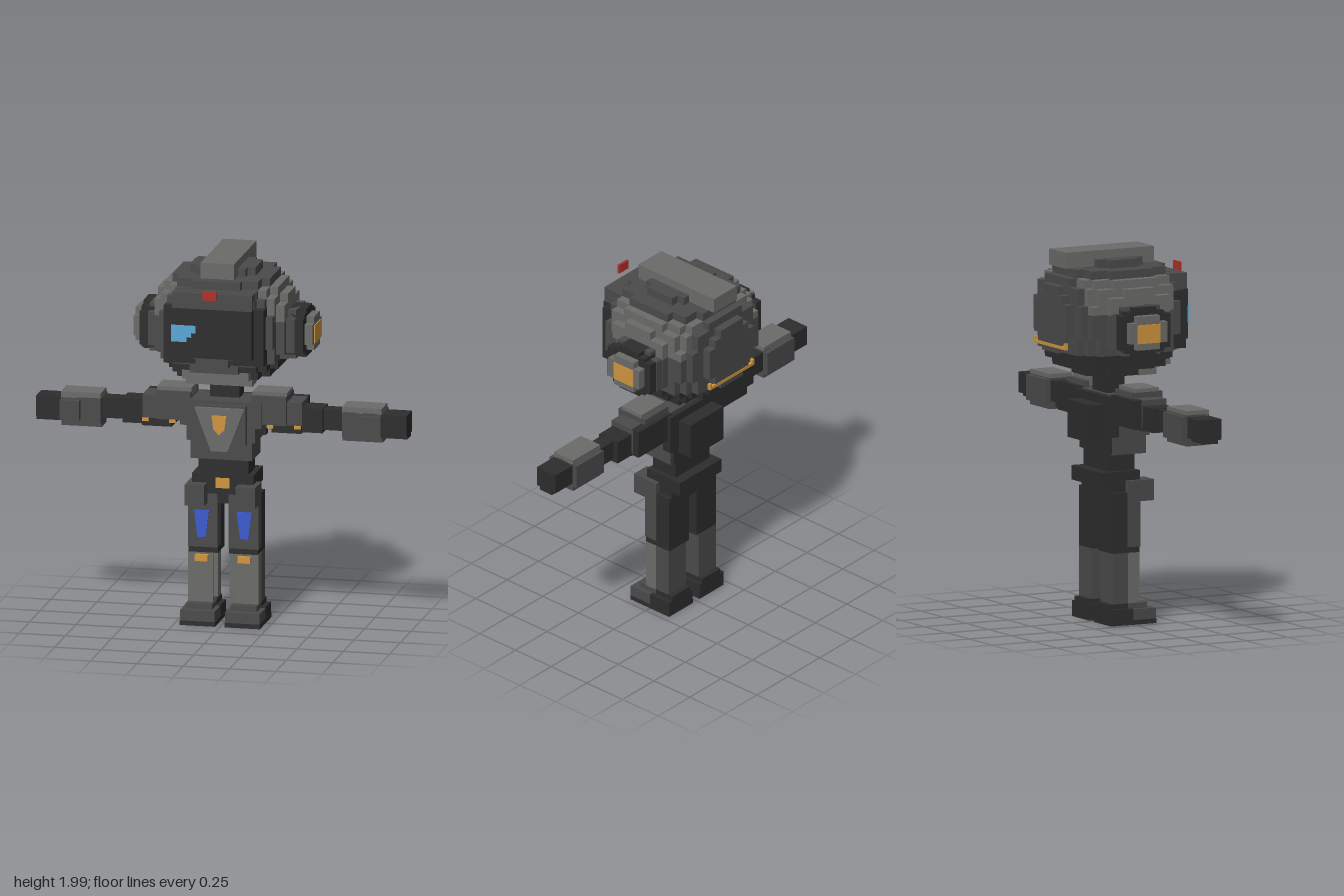
import * as THREE from 'three';
import { mergeGeometries } from 'three/addons/utils/BufferGeometryUtils.js';

const colour = (name, color) => Object.assign(new THREE.MeshStandardMaterial({ color }), { name });
const light = colour('light grey', 0x6b6b69);
const mid = colour('mid grey', 0x4b4b4b);
const dark = colour('charcoal', 0x2d2d2d);
const orange = colour('orange', 0xd0953f);
const red = colour('red', 0xb0302a);
const blue = colour('blue', 0x3c5cd0);
const cyan = colour('light blue', 0x5aa8d8);

// Box from its limits
function box([x0, x1, y0, y1, z0, z1]) {
  return new THREE.BoxGeometry(x1 - x0, y1 - y0, z1 - z0)
    .translate((x0 + x1) / 2, (y0 + y1) / 2, (z0 + z1) / 2);
}
const flip = ([x0, x1, ...rest]) => [-x1, -x0, ...rest];

export function createModel() {
  const root = new THREE.Group();
  root.name = 'astronaut';

  const add = (name, mat, geo) => {
    const mesh = new THREE.Mesh(geo, mat);
    mesh.name = name;
    root.add(mesh);
  };
  const part = (name, mat, ...boxes) => add(name, mat, mergeGeometries(boxes.map(box)));
  const pair = (name, mat, ...boxes) => {
    part('left ' + name, mat, ...boxes);
    part('right ' + name, mat, ...boxes.map(flip));
  };
  // Thin flat plate facing the front
  const plate = (name, mat, points, x, z) => {
    const shape = new THREE.Shape(points.map(([px, py]) => new THREE.Vector2(px + x, py)));
    add(name, mat, new THREE.ExtrudeGeometry(shape, { depth: 0.008, bevelEnabled: false }).translate(0, 0, z));
  };

  // Helmet: blocky rounded shell built from layers of rows
  const rows = 16, layers = 14, dz = 0.705 / rows, dy = 0.62 / layers, dx = 0.0438;
  const shell = new Map([[light, []], [mid, []], [dark, []]]);
  for (let j = 0; j < layers; j++) {
    for (let k = 0; k < rows; k++) {
      const y = 1.32 + (j + 0.5) * dy, z = -0.385 + (k + 0.5) * dz;
      const rest = 1 - Math.abs((y - 1.63) / 0.31) ** 2.5 - Math.abs((z + 0.0325) / 0.36) ** 2.5;
      if (rest <= 0) continue;
      const w = Math.round(0.36 * rest ** 0.4 / dx) * dx;
      if (w === 0) continue;
      let mat = mid;
      if (z < 0.22 && y < 1.46) mat = dark;
      else if (z < 0.2 && z > -0.3 && y > 1.66 && y < 1.86) mat = light;
      shell.get(mat).push([-w, w, y - dy / 2, y + dy / 2, z - dz / 2, z + dz / 2]);
    }
  }
  for (const [mat, boxes] of shell) part('helmet shell ' + mat.name, mat, ...boxes);
  part('helmet crest', light, [-0.09, 0.09, 1.9, 1.985, -0.34, 0.19]);
  part('helmet brow', mid, [-0.215, 0.215, 1.765, 1.85, 0.2, 0.32]);
  part('helmet collar', light, [-0.18, 0.18, 1.318, 1.365, 0.05, 0.157], [-0.18, 0.18, 1.365, 1.41, 0.1, 0.24]);
  part('visor', dark, [-0.27, 0.27, 1.46, 1.765, 0.2, 0.283], [-0.215, 0.215, 1.5, 1.765, 0.2, 0.324]);
  part('visor glint', cyan, [-0.22, -0.135, 1.585, 1.675, 0.322, 0.328],
    [-0.135, -0.11, 1.61, 1.675, 0.322, 0.328], [-0.11, -0.088, 1.635, 1.675, 0.322, 0.328]);
  part('forehead lamp', red, [-0.036, 0.036, 1.83, 1.88, 0.372, 0.384]);
  part('rear trim', orange, [-0.175, 0.175, 1.48, 1.497, -0.388, -0.37],
    [-0.175, -0.16, 1.48, 1.515, -0.388, -0.37], [0.16, 0.175, 1.48, 1.515, -0.388, -0.37]);

  // Ear pods
  pair('ear base', dark, [0.33, 0.44, 1.46, 1.72, -0.12, 0.015],
    [0.33, 0.44, 1.5, 1.68, -0.2, 0.1], [0.33, 0.44, 1.48, 1.7, -0.16, 0.06]);
  pair('ear rim', mid, [0.33, 0.395, 1.46, 1.72, -0.16, 0.06], [0.33, 0.395, 1.5, 1.68, -0.205, 0.105]);
  pair('ear cap', light, [0.42, 0.482, 1.5, 1.68, -0.12, 0.015], [0.42, 0.482, 1.535, 1.645, -0.16, 0.058]);
  pair('ear light', orange, [0.478, 0.487, 1.535, 1.635, -0.12, 0.015]);

  // Torso
  part('neck', dark, [-0.08, 0.08, 1.2, 1.34, -0.085, 0.02]);
  part('chest', mid, [-0.22, 0.22, 1.08, 1.22, -0.1, 0.11], [-0.185, 0.185, 1.0, 1.1, -0.1, 0.11],
    [-0.165, 0.165, 0.9, 1.0, -0.1, 0.1], [-0.14, 0.14, 0.99, 1.2, 0.1, 0.135]);
  part('back', dark, [-0.2, 0.2, 1.0, 1.215, -0.13, -0.08], [-0.16, 0.16, 0.905, 1.0, -0.12, -0.08]);
  part('backpack', dark, [-0.13, 0.13, 0.97, 1.17, -0.21, -0.1]);
  plate('chest plate', light, [[-0.135, 1.19], [-0.045, 0.955], [0.045, 0.955], [0.135, 1.19]], 0, 0.142);
  plate('chest plate backing', light, [[-0.135, 1.19], [-0.045, 0.955], [0.045, 0.955], [0.135, 1.19]], 0, 0.135);
  plate('chest badge', orange, [[-0.04, 1.15], [-0.03, 1.075], [0, 1.045], [0.03, 1.075], [0.04, 1.15]], 0, 0.149);
  part('waist', dark, [-0.135, 0.135, 0.8, 0.91, -0.11, 0.05]);
  part('belt', dark, [-0.165, 0.165, 0.735, 0.812, -0.165, 0.065]);
  part('hips', dark, [-0.16, 0.16, 0.65, 0.74, -0.11, 0.05]);
  part('belt buckle', orange, [-0.037, 0.037, 0.737, 0.792, 0.062, 0.07]);
  pair('hip pouch', mid, [0.085, 0.19, 0.65, 0.762, -0.02, 0.135]);

  // Arms
  pair('shoulder', mid, [0.165, 0.35, 1.1, 1.255, -0.085, 0.1], [0.34, 0.43, 1.08, 1.225, -0.07, 0.08]);
  pair('shoulder cap', light, [0.165, 0.35, 1.225, 1.275, -0.06, 0.08]);
  pair('shoulder back', dark, [0.17, 0.43, 1.07, 1.225, -0.11, -0.06], [0.27, 0.43, 1.06, 1.1, -0.06, 0.09]);
  pair('arm light', orange, [0.245, 0.28, 1.085, 1.102, 0.092, 0.105], [0.393, 0.428, 1.085, 1.102, 0.085, 0.098]);
  pair('upper arm', dark, [0.4, 0.67, 1.08, 1.19, -0.03, 0.055], [0.42, 0.54, 1.065, 1.195, -0.06, 0.07]);
  pair('forearm', mid, [0.65, 0.865, 1.06, 1.195, -0.06, 0.1], [0.65, 0.865, 1.035, 1.2, -0.035, 0.08],
    [0.76, 0.865, 1.075, 1.18, 0.08, 0.13]);
  pair('forearm cap', light, [0.65, 0.865, 1.19, 1.222, -0.035, 0.1]);
  pair('hand', dark, [0.86, 1.0, 1.08, 1.19, -0.03, 0.1], [0.86, 1.0, 1.06, 1.17, -0.005, 0.08]);

  // Legs
  pair('thigh', mid, [0.03, 0.19, 0.41, 0.7, -0.02, 0.055]);
  pair('thigh back', dark, [0.03, 0.187, 0.38, 0.7, -0.11, 0.03]);
  pair('knee band', dark, [0.03, 0.188, 0.38, 0.41, 0, 0.05]);
  pair('shin', light, [0.055, 0.19, 0.11, 0.38, -0.02, 0.05], [0.03, 0.19, 0.14, 0.38, -0.02, 0.04]);
  pair('calf', mid, [0.05, 0.188, 0.11, 0.38, -0.108, -0.01]);
  pair('knee light', orange, [0.08, 0.15, 0.335, 0.37, 0.048, 0.072]);
  for (const s of [-1, 1]) {
    plate('thigh panel', blue, [[-0.04, 0.61], [-0.022, 0.465], [0.022, 0.465], [0.04, 0.61]], s * 0.115, 0.055);
  }
  pair('boot', mid, [0.028, 0.215, 0.025, 0.082, 0, 0.135], [0.05, 0.19, 0.08, 0.112, -0.02, 0.095]);
  pair('boot heel', dark, [0.028, 0.215, 0.025, 0.085, -0.135, 0], [0.05, 0.19, 0.08, 0.112, -0.135, -0.02]);
  pair('boot sole', dark, [0.026, 0.216, 0, 0.025, -0.135, 0.135]);
  return root;
}
